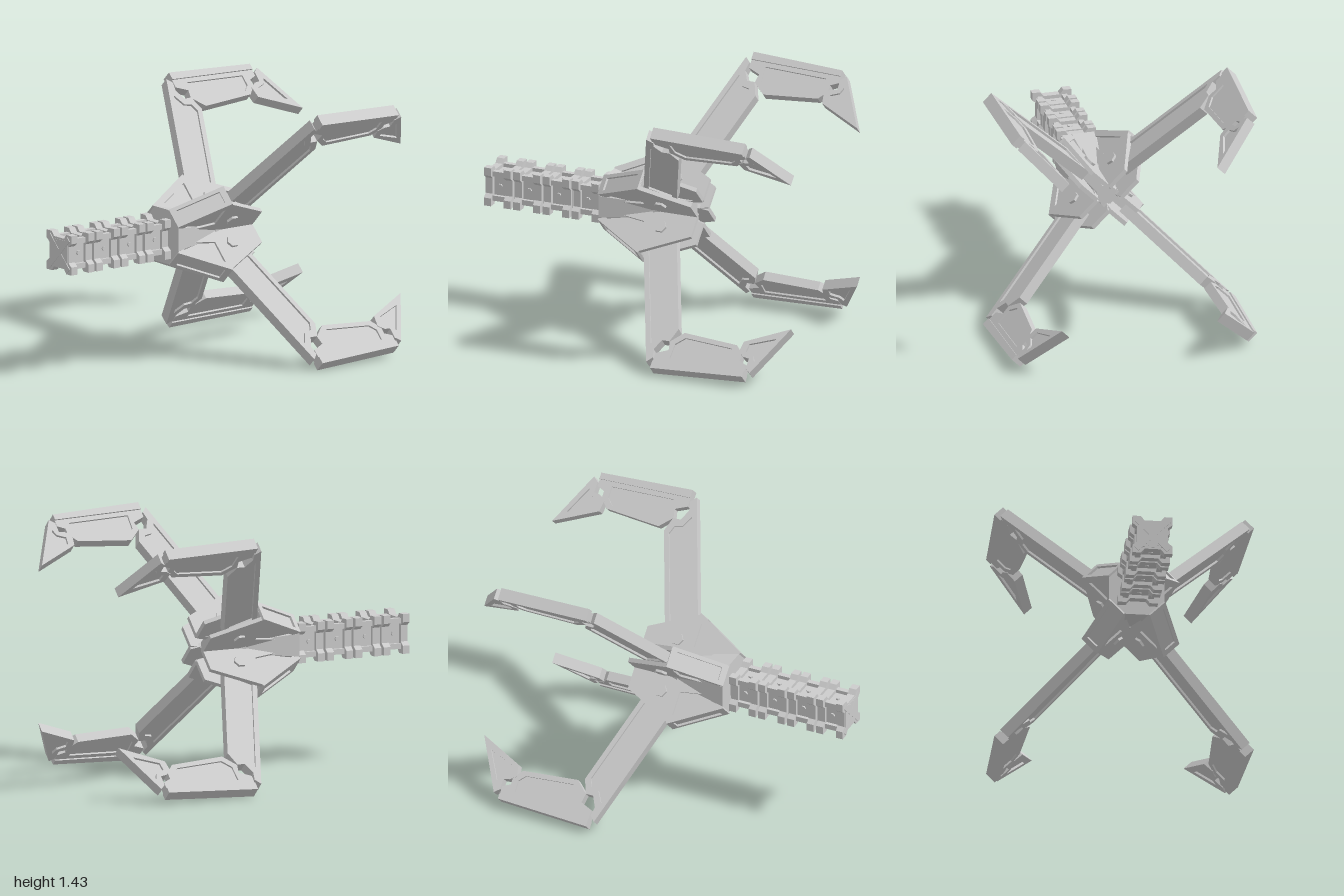
import * as THREE from 'three';

const grey = new THREE.MeshStandardMaterial({ color: 0xcccccc, flatShading: true, side: THREE.DoubleSide });
const vecs = (pts) => pts.map(([x, y]) => new THREE.Vector2(x, y));

function add(parent, name, geometry, x = 0, y = 0, z = 0) {
  const mesh = new THREE.Mesh(geometry, grey);
  mesh.name = name;
  mesh.position.set(x, y, z);
  parent.add(mesh);
  return mesh;
}

// Flat plate centred on its thickness, with an optional hole
function plateGeo(pts, thick, hole) {
  const shape = new THREE.Shape(vecs(pts));
  if (hole) shape.holes.push(new THREE.Path(vecs(hole)));
  return new THREE.ExtrudeGeometry(shape, { depth: thick, bevelEnabled: false }).translate(0, 0, -thick / 2);
}

// Framed plate with a sunken panel on both faces
function panelled(parent, name, pts, hole, thick, inner) {
  add(parent, name + 'Frame', plateGeo(pts, thick, hole));
  add(parent, name + 'Panel', plateGeo(hole, inner));
}

const rect = (w, h) => [[-w / 2, -h / 2], [w / 2, -h / 2], [w / 2, h / 2], [-w / 2, h / 2]];

// One pod with its jointed claw: x is outward, y is backward, z is thickness
function makeClaw() {
  const claw = new THREE.Group();
  claw.name = 'claw';

  // Pod: solid front half, forked rear half holding the arm
  add(claw, 'podFront', plateGeo([[0, -0.29], [0.15, -0.29], [0.31, 0], [0, 0]], 0.096));
  const cheek = [[0, -0.29], [0.15, -0.29], [0.31, 0], [0.18, 0.27], [0.05, 0.27], [0, 0.1]];
  const recess = [[0.1, -0.255], [0.14, -0.255], [0.265, -0.025], [0.13, -0.025]];
  for (const s of [-1, 1]) {
    add(claw, 'podCheek', plateGeo(cheek, 0.024, recess), 0, 0, s * 0.048);
    const bolt = add(claw, 'pivotBolt', new THREE.CylinderGeometry(0.036, 0.036, 0.016, 6), 0.15, 0.08, s * 0.066);
    bolt.rotation.x = Math.PI / 2;
  }

  // Raised frames on the sloped outer face of the pod
  const rim = add(claw, 'podRim', plateGeo(rect(0.33, 0.12), 0.016, rect(0.26, 0.075)), 0.234, -0.147, 0);
  const along = new THREE.Vector3(0.16, 0.29, 0).normalize();
  const across = new THREE.Vector3(0, 0, 1);
  rim.quaternion.setFromRotationMatrix(
    new THREE.Matrix4().makeBasis(along, across, along.clone().cross(across)));

  // Upper arm
  panelled(claw, 'upperArm',
    [[0.25, 0], [0.94, 0.235], [0.91, 0.265], [0.86, 0.255], [0.8, 0.285], [0.8, 0.33], [0.72, 0.36], [0.15, 0.166]],
    [[0.28, 0.04], [0.83, 0.228], [0.765, 0.265], [0.755, 0.31], [0.71, 0.328], [0.21, 0.157]], 0.06, 0.036);

  // Forearm with a thicker outer spine
  panelled(claw, 'forearm',
    [[0.97, 0.27], [0.945, 0.81], [0.87, 0.81], [0.85, 0.765], [0.81, 0.765], [0.76, 0.72], [0.735, 0.4],
      [0.8, 0.33], [0.85, 0.34], [0.88, 0.27]],
    [[0.9, 0.36], [0.885, 0.73], [0.82, 0.73], [0.785, 0.695], [0.765, 0.415], [0.81, 0.365]], 0.052, 0.032);
  add(claw, 'forearmSpine', plateGeo([[0.975, 0.27], [0.945, 0.81], [0.91, 0.81], [0.93, 0.27]], 0.068));

  // Pointed tip
  panelled(claw, 'clawTip',
    [[0.735, 0.755], [0.8, 0.745], [0.825, 0.78], [0.83, 0.815], [0.89, 0.815], [0.915, 0.845], [0.62, 1]],
    [[0.745, 0.79], [0.79, 0.785], [0.81, 0.835], [0.845, 0.85], [0.69, 0.935]], 0.06, 0.034);

  claw.rotation.x = -Math.PI / 2;
  const turn = new THREE.Group();
  turn.add(claw);
  return turn;
}

// One link of the shaft, centred on its own z
function makeLink() {
  const link = new THREE.Group();
  link.name = 'shaftLink';
  add(link, 'linkCore', new THREE.BoxGeometry(0.13, 0.13, 0.165));

  // Square end flanges, notched in the middle of each side
  const quarter = [[0.11, -0.11], [0.11, -0.065], [0.085, -0.045], [0.085, 0.045], [0.11, 0.065]];
  const outline = [];
  for (let k = 0; k < 4; k++) {
    const c = Math.round(Math.cos(k * Math.PI / 2)), s = Math.round(Math.sin(k * Math.PI / 2));
    for (const [x, y] of quarter) outline.push([x * c - y * s, x * s + y * c]);
  }
  for (const s of [-1, 1]) {
    add(link, 'linkFlange', plateGeo(outline, 0.042, rect(0.12, 0.12)), 0, 0, s * 0.059);
  }

  // Corner bars and small side bolts
  for (let k = 0; k < 4; k++) {
    const side = new THREE.Group();
    side.rotation.z = k * Math.PI / 2;
    add(side, 'cornerBar', new THREE.BoxGeometry(0.03, 0.03, 0.08), 0.07, 0.07, 0);
    add(side, 'sideBolt', new THREE.CylinderGeometry(0.013, 0.013, 0.012, 6), 0, 0.069, 0);
    link.add(side);
  }
  return link;
}

export function createModel() {
  const model = new THREE.Group();
  model.name = 'grapplingClaw';
  model.position.y = 0.71;
  const root = new THREE.Group();
  root.add(model);

  // Central hub: octagonal wedge narrowing to the rear
  const oct = Math.cos(Math.PI / 8);
  const hub = new THREE.CylinderGeometry(0.152 / oct, 0.085 / oct, 0.31, 8, 1);
  hub.rotateY(Math.PI / 8).rotateX(Math.PI / 2);
  add(model, 'hub', hub, 0, 0, 0.135);
  const rear = new THREE.CylinderGeometry(0.1, 0.06, 0.2, 8, 1).rotateY(Math.PI / 8).rotateX(Math.PI / 2);
  add(model, 'hubRear', rear, 0, 0, -0.11);

  // Four claws on the diagonals
  for (let k = 0; k < 4; k++) {
    const claw = makeClaw();
    claw.rotation.z = Math.PI / 4 + k * Math.PI / 2;
    model.add(claw);
  }

  // Shaft of four links joined by a thin core
  add(model, 'shaftCore', new THREE.BoxGeometry(0.1, 0.1, 0.7), 0, 0, 0.63);
  for (let k = 0; k < 4; k++) {
    const link = makeLink();
    link.position.z = 0.39 + k * 0.175;
    model.add(link);
  }

  // Crossed bars and square rim on the front end
  for (const s of [-1, 1]) {
    const bar = add(model, 'endCross', new THREE.BoxGeometry(0.25, 0.03, 0.02), 0, 0, 0.99);
    bar.rotation.z = s * Math.PI / 4;
  }
  add(model, 'endRim', plateGeo(rect(0.15, 0.15), 0.014, rect(0.11, 0.11)), 0, 0, 0.99);
  return root;
}
